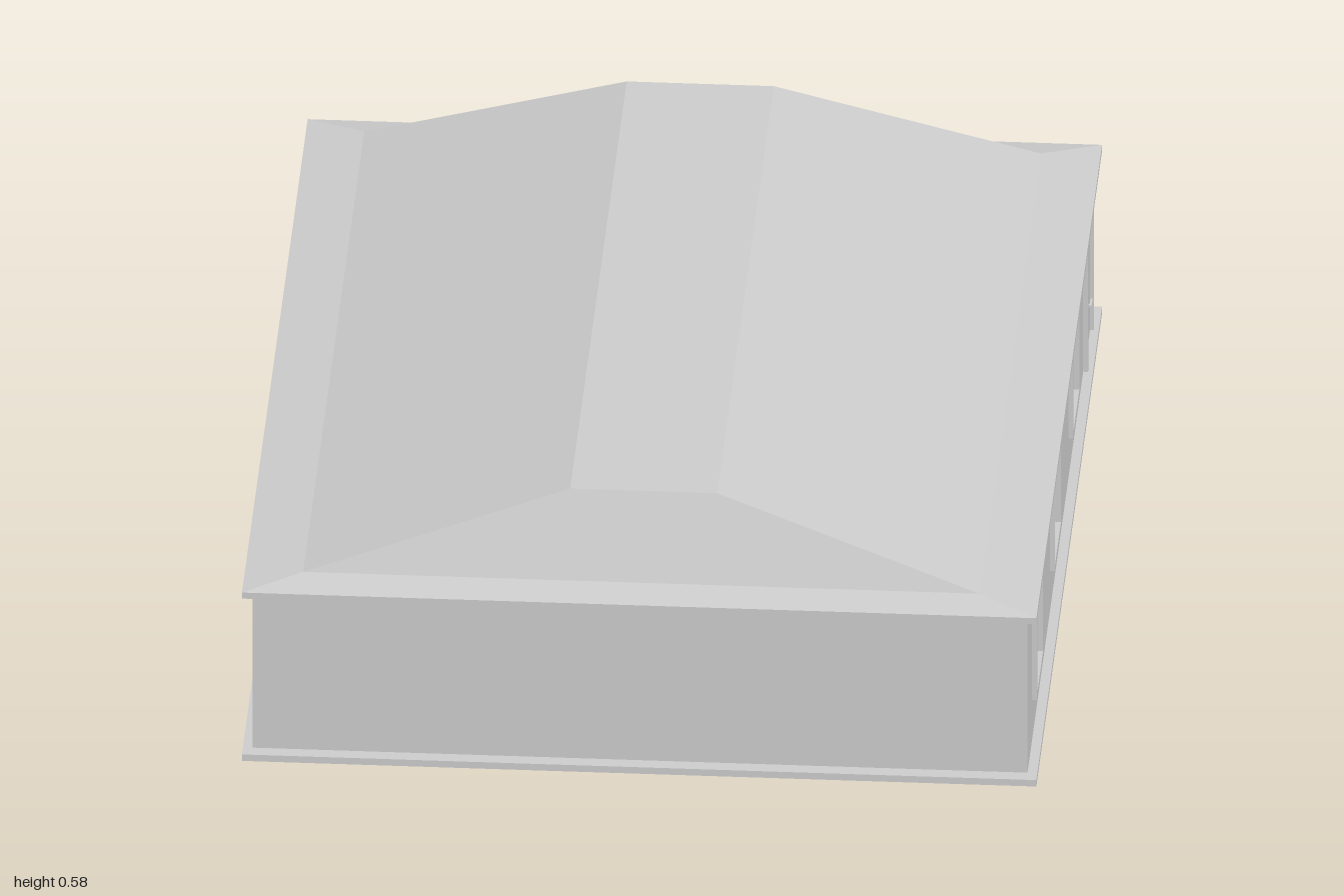
import * as THREE from 'three';

const grey = new THREE.MeshStandardMaterial({ color: 0xcccccc, flatShading: true });
const WALL_X = 0.79, WALL_Z = 0.97, THICK = 0.03, FLOOR = 0.015, EAVE = 0.377;
const WIN = { w: 0.176, h: 0.174, y: 0.207, trim: 0.011 };
const DOOR = { z: -0.817, w: 0.166, top: 0.294, trim: 0.01 };

function add(parent, name, geometry, x = 0, y = 0, z = 0) {
  const mesh = new THREE.Mesh(geometry, grey);
  mesh.name = name;
  mesh.position.set(x, y, z);
  parent.add(mesh);
  return mesh;
}

function box(parent, name, w, h, d, x, y, z) {
  return add(parent, name, new THREE.BoxGeometry(w, h, d), x, y, z);
}

// Rectangle in the (z, y) plane of a side wall
function rect(type, z, y0, y1, w) {
  const a = z - w / 2, b = z + w / 2;
  return new type([[a, y0], [b, y0], [b, y1], [a, y1]].map(p => new THREE.Vector2(...p)));
}

// Extrudes a (z, y) shape along x, from 0 back to -depth
function slab(shape, depth) {
  return new THREE.ExtrudeGeometry(shape, { depth, bevelEnabled: false }).rotateY(-Math.PI / 2);
}

// Solid lofted through stacked rectangles [halfX, halfZ, y], closed at both ends
function loft(levels) {
  const rings = levels.map(([x, z, y]) => [[-x, y, z], [x, y, z], [x, y, -z], [-x, y, -z]]);
  const out = [];
  const quad = (a, b, c, d) => out.push(...a, ...b, ...c, ...a, ...c, ...d);
  for (let i = 0; i < rings.length - 1; i++) {
    for (let k = 0; k < 4; k++) {
      const n = (k + 1) % 4;
      quad(rings[i][k], rings[i][n], rings[i + 1][n], rings[i + 1][k]);
    }
  }
  quad(...rings[rings.length - 1]);
  quad(...[...rings[0]].reverse());
  const geometry = new THREE.BufferGeometry();
  geometry.setAttribute('position', new THREE.Float32BufferAttribute(out, 3));
  geometry.computeVertexNormals();
  return geometry;
}

// Casing with a cross of glazing bars, outside facing +x
function windowUnit(z) {
  const g = new THREE.Group();
  g.name = 'window';
  const { w, h, y, trim } = WIN;
  const casing = rect(THREE.Shape, 0, y - h / 2 - trim, y + h / 2 + trim, w + 2 * trim);
  casing.holes.push(rect(THREE.Path, 0, y - h / 2, y + h / 2, w));
  add(g, 'windowCasing', slab(casing, 0.012), WALL_X + 0.01);
  box(g, 'glazingBarUpright', 0.012, h, 0.013, WALL_X - 0.008, y, 0);
  box(g, 'glazingBarLevel', 0.012, 0.013, w, WALL_X - 0.008, y, 0);
  g.position.z = z;
  return g;
}

// Closed door with casing and lever handle
function doorUnit() {
  const g = new THREE.Group();
  g.name = 'door';
  const { w, top, trim } = DOOR;
  const casing = rect(THREE.Shape, 0, FLOOR, top + trim, w + 2 * trim);
  casing.holes.push(rect(THREE.Path, 0, FLOOR, top, w));
  add(g, 'doorCasing', slab(casing, 0.012), WALL_X + 0.01);
  box(g, 'doorPanel', 0.016, top - FLOOR, w, WALL_X - 0.006, (top + FLOOR) / 2, 0);
  box(g, 'handleStem', 0.014, 0.006, 0.006, WALL_X + 0.007, 0.157, w / 2 - 0.01);
  box(g, 'handleLever', 0.005, 0.006, 0.03, WALL_X + 0.014, 0.157, w / 2 - 0.022);
  g.position.z = DOOR.z;
  return g;
}

// Long side wall with its openings; side is +1 or -1
function sideWall(side, windows, hasDoor) {
  const g = new THREE.Group();
  g.name = side > 0 ? 'leftSide' : 'rightSide';
  const wall = rect(THREE.Shape, 0, FLOOR, EAVE, WALL_Z * 2);
  for (const z of windows) {
    wall.holes.push(rect(THREE.Path, z * side, WIN.y - WIN.h / 2, WIN.y + WIN.h / 2, WIN.w));
    g.add(windowUnit(z * side));
  }
  if (hasDoor) {
    wall.holes.push(rect(THREE.Path, DOOR.z, FLOOR + 0.001, DOOR.top, DOOR.w));
    g.add(doorUnit());
  }
  add(g, 'sideWall', slab(wall, THICK), WALL_X);
  // A half turn puts the right side on -x
  if (side < 0) g.rotation.y = Math.PI;
  return g;
}

export function createModel() {
  const model = new THREE.Group();
  model.name = 'house';

  // Base slab
  box(model, 'baseSlab', 1.62, FLOOR, 2, 0, FLOOR / 2, 0);

  // Blank end walls
  for (const s of [1, -1]) {
    box(model, s > 0 ? 'frontWall' : 'backWall', (WALL_X - THICK) * 2, EAVE - FLOOR, THICK,
      0, (EAVE + FLOOR) / 2, s * (WALL_Z - THICK / 2));
  }

  // Long walls with windows and door
  model.add(sideWall(1, [0.735, 0.19, -0.37], true));
  model.add(sideWall(-1, [0.735, -0.37], false));

  // Inner partition behind the rear rooms
  box(model, 'partition', 0.02, EAVE - FLOOR, 1.3, 0, (EAVE + FLOOR) / 2, -0.3);

  // Roof: fascia, shallow eave, then the main slopes up to a flat crown
  add(model, 'roof', loft([
    [0.81, 1, EAVE], [0.81, 1, 0.391], [0.69, 0.93, 0.405], [0.15, 0.86, 0.58],
  ]));

  return model;
}
